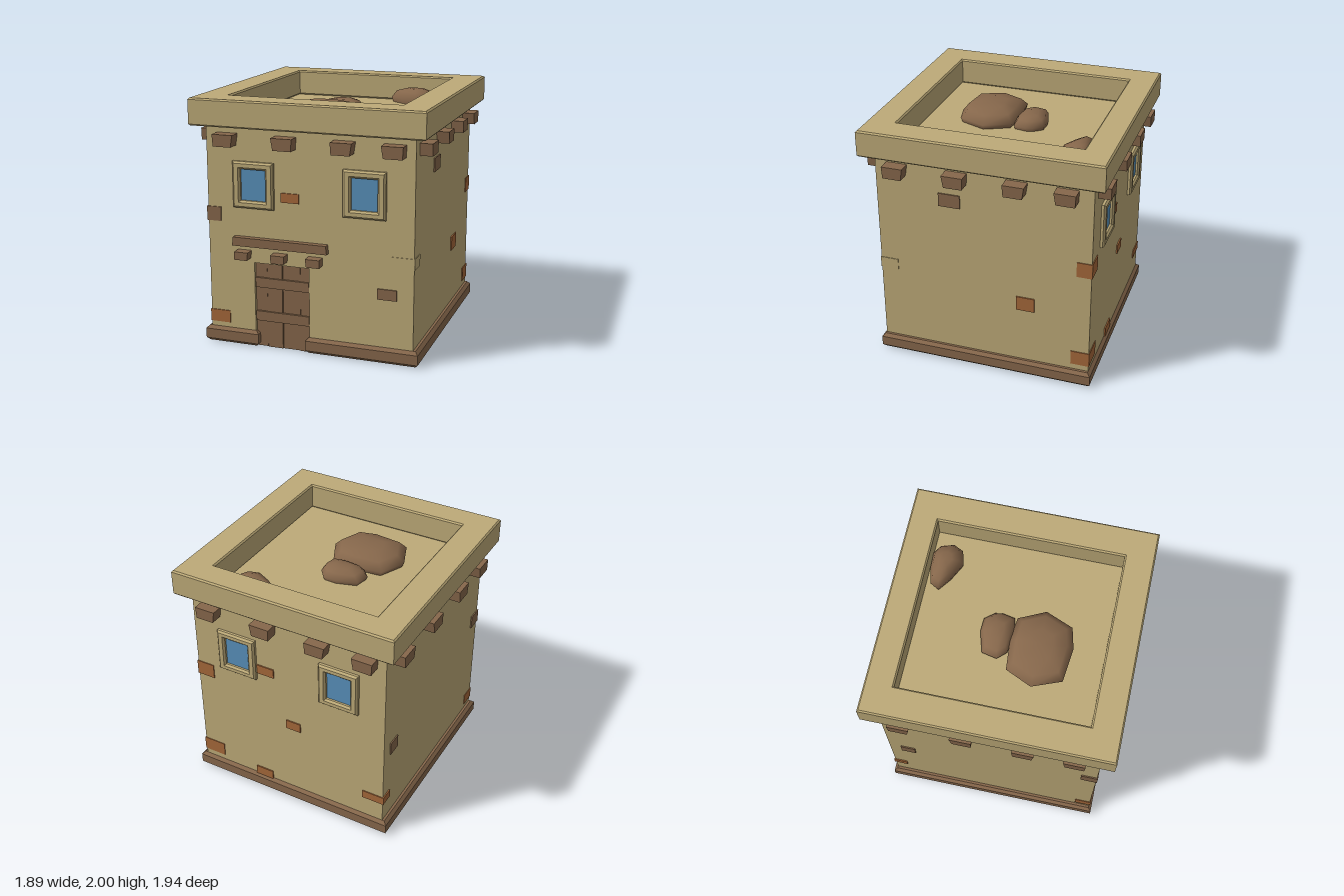
import * as THREE from 'three';

const mat = (name, color) => {
  const m = new THREE.MeshStandardMaterial({ color });
  m.name = name;
  return m;
};

export function createModel() {
  const plaster = mat('sand plaster', 0xbdaa78);
  const wood = mat('brown wood', 0x86674b);
  const clay = mat('orange clay', 0xa5683a);
  const glass = mat('blue glass', 0x5890ba);

  const model = new THREE.Group();
  model.name = 'adobeHouse';

  const add = (parent, name, geometry, material, x = 0, y = 0, z = 0) => {
    const m = new THREE.Mesh(geometry, material);
    m.name = name;
    m.position.set(x, y, z);
    parent.add(m);
    return m;
  };
  const poly = pts => pts.map(([x, y]) => new THREE.Vector2(x, y));
  const rect = (w, h, dy = 0) => poly([[-w, dy - h], [w, dy - h], [w, dy + h], [-w, dy + h]]);

  // Chamfered slab whose outline and depth are the finished sizes
  const slab = (outline, depth, bevel, hole) => {
    const shape = new THREE.Shape(outline);
    if (hole) shape.holes.push(new THREE.Path(hole));
    const g = new THREE.ExtrudeGeometry(shape, {
      depth: depth - 2 * bevel, bevelEnabled: bevel > 0, bevelSegments: 1,
      bevelSize: bevel, bevelThickness: bevel, bevelOffset: -bevel,
    });
    return g.translate(0, 0, bevel);
  };

  // Hand-cut block: bottom narrowed by taper, sides leaning by skew
  const block = (w, h, d, taper = 1, skew = 0) => {
    const g = new THREE.BoxGeometry(w, h, d);
    const p = g.attributes.position;
    for (let i = 0; i < p.count; i++) {
      if (p.getY(i) < 0) p.setX(i, p.getX(i) * taper + skew);
    }
    g.computeVertexNormals();
    return g;
  };

  // Walls: solid core plus a front layer with the door opening
  add(model, 'wallCore', new THREE.BoxGeometry(1.69, 1.765, 1.69), plaster, 0, 0.9025, -0.025);
  const frontOutline = poly([[-0.845, 0.02], [-0.46, 0.02], [-0.46, 0.7], [0, 0.7], [0, 0.02],
    [0.845, 0.02], [0.845, 1.785], [-0.845, 1.785]]);
  add(model, 'frontWall', slab(frontOutline, 0.05, 0), plaster, 0, 0, 0.82);

  // Roof parapet
  add(model, 'parapet', slab(rect(0.945, 0.97), 0.215, 0.012, rect(0.7, 0.74, 0.005)).rotateX(-Math.PI / 2),
    plaster, 0, 1.785, 0);

  // Base course with a gap at the door
  const baseOutline = poly([[-0.89, -0.895], [-0.43, -0.895], [-0.43, -0.835], [-0.03, -0.835],
    [-0.03, -0.895], [0.89, -0.895], [0.89, 0.895], [-0.89, 0.895]]);
  add(model, 'baseCourse', slab(baseOutline, 0.13, 0.025).rotateX(-Math.PI / 2), wood);

  // Door: vertical planks, two battens
  const door = new THREE.Group();
  door.name = 'door';
  model.add(door);
  const seams = [-0.46, -0.36, -0.23, -0.08, 0];
  for (let i = 0; i < 4; i++) {
    const w = seams[i + 1] - seams[i];
    add(door, 'doorPlank', new THREE.BoxGeometry(w - 0.004, 0.7, 0.04), wood,
      seams[i] + w / 2, 0.35, 0.828 + (i % 2) * 0.008);
  }
  for (const y of [0.26, 0.54]) {
    add(door, 'doorBatten', block(0.45, 0.08, 0.02, 1, 0.004), wood, -0.23, y, 0.86);
  }

  // Lintel above the door with three supporting beam ends
  add(model, 'lintel', block(0.775, 0.07, 0.1, 1.02), wood, -0.232, 0.875, 0.87);
  [-0.54, -0.235, 0.055].forEach((x, i) =>
    add(model, 'lintelBeam', block(0.115, 0.065, 0.14, 0.93, (i - 1) * 0.004), wood, x, 0.767, 0.88));

  // Windows and roof beams, repeated on opposite sides
  const frame = slab(rect(0.17, 0.185), 0.06, 0.015, rect(0.105, 0.125));
  for (const turn of [0, Math.PI]) {
    const face = new THREE.Group();
    face.name = turn ? 'backFittings' : 'frontFittings';
    face.rotation.y = turn;
    model.add(face);
    for (const x of [-0.45, 0.455]) {
      add(face, 'windowFrame', frame, plaster, x, 1.33, 0.845);
      add(face, 'windowPane', new THREE.BoxGeometry(0.22, 0.26, 0.008), glass, x, 1.33, 0.87);
    }
    [-0.665, -0.18, 0.295, 0.69].forEach((x, i) =>
      add(face, 'roofBeam', block(0.17, 0.095, 0.15, 0.87, i % 2 ? 0.006 : -0.004), wood, x, 1.682, 0.895));

    const side = new THREE.Group();
    side.name = turn ? 'leftBeams' : 'rightBeams';
    side.rotation.y = turn + Math.PI / 2;
    model.add(side);
    [-0.69, -0.205, 0.275, 0.67].forEach((x, i) =>
      add(side, 'roofBeam', block(0.17, 0.095, 0.15, 0.87, i % 2 ? 0.006 : -0.004), wood, x, 1.682, 0.87));
  }

  // Exposed bricks: [x, y, z, sizeX, sizeY, sizeZ, material]
  const bricks = [
    [-0.15, 1.25, 0.865, 0.15, 0.075, 0.03, clay],
    [0.635, 0.56, 0.865, 0.155, 0.085, 0.03, wood],
    [-0.795, 1.075, 0.81, 0.12, 0.115, 0.136, wood],
    [-0.765, 0.222, 0.81, 0.17, 0.1, 0.136, clay],
    [0.76, 0.82, 0.8, 0.18, 0.09, 0.15, plaster],
    [0.84, 1.475, 0.268, 0.03, 0.11, 0.175, wood],
    [0.84, 0.66, -0.345, 0.03, 0.12, 0.15, clay],
    [0.775, 1.06, -0.815, 0.155, 0.125, 0.125, clay],
    [0.755, 0.24, -0.8, 0.195, 0.12, 0.152, clay],
    [0.2, 1.25, -0.865, 0.15, 0.08, 0.03, clay],
    [-0.04, 0.79, -0.865, 0.13, 0.08, 0.03, clay],
    [0.255, 0.165, -0.865, 0.16, 0.08, 0.03, clay],
    [-0.76, 0.345, -0.82, 0.19, 0.07, 0.115, clay],
    [-0.84, 0.815, -0.71, 0.03, 0.11, 0.12, wood],
  ];
  for (const [x, y, z, w, h, d, m] of bricks) add(model, 'brick', block(w, h, d), m, x, y, z);

  // Roof mounds: stacked, shrinking copies of an outline, smooth shaded
  const mound = (outline, height) => {
    const n = outline.length, pos = [], idx = [];
    const cx = outline.reduce((s, p) => s + p[0], 0) / n;
    const cz = outline.reduce((s, p) => s + p[1], 0) / n;
    const rings = [[0.93, 0], [1, 0.35], [0.8, 0.8], [0.4, 1]];
    for (const [s, t] of rings) {
      for (const [x, z] of outline) pos.push(cx + (x - cx) * s, 1.78 + height * t, cz + (z - cz) * s);
    }
    pos.push(cx, 1.78 + height, cz);
    for (let r = 0; r < rings.length; r++) {
      for (let i = 0; i < n; i++) {
        const j = (i + 1) % n, a = r * n + i, b = r * n + j;
        if (r === rings.length - 1) idx.push(a, b, rings.length * n);
        else idx.push(a, b, b + n, a, b + n, a + n);
      }
    }
    const g = new THREE.BufferGeometry();
    g.setAttribute('position', new THREE.Float32BufferAttribute(pos, 3));
    g.setIndex(idx);
    g.computeVertexNormals();
    return g;
  };
  add(model, 'largeMound', mound([[0.19, 0.23], [0.09, 0.02], [-0.1, 0], [-0.34, 0.02], [-0.435, 0.23],
    [-0.345, 0.46], [-0.07, 0.49], [0.1, 0.45]], 0.13), wood);
  add(model, 'mediumMound', mound([[0.11, -0.1], [0.1, -0.16], [0.04, -0.235], [-0.07, -0.24], [-0.24, -0.19],
    [-0.265, -0.07], [-0.2, 0], [-0.02, 0.02], [0.09, 0]], 0.1), wood);
  add(model, 'smallMound', mound([[0.6, -0.6], [0.57, -0.7], [0.5, -0.745], [0.38, -0.74], [0.24, -0.71],
    [0.2, -0.64], [0.31, -0.56], [0.45, -0.49], [0.56, -0.52]], 0.13), wood);

  return model;
}
